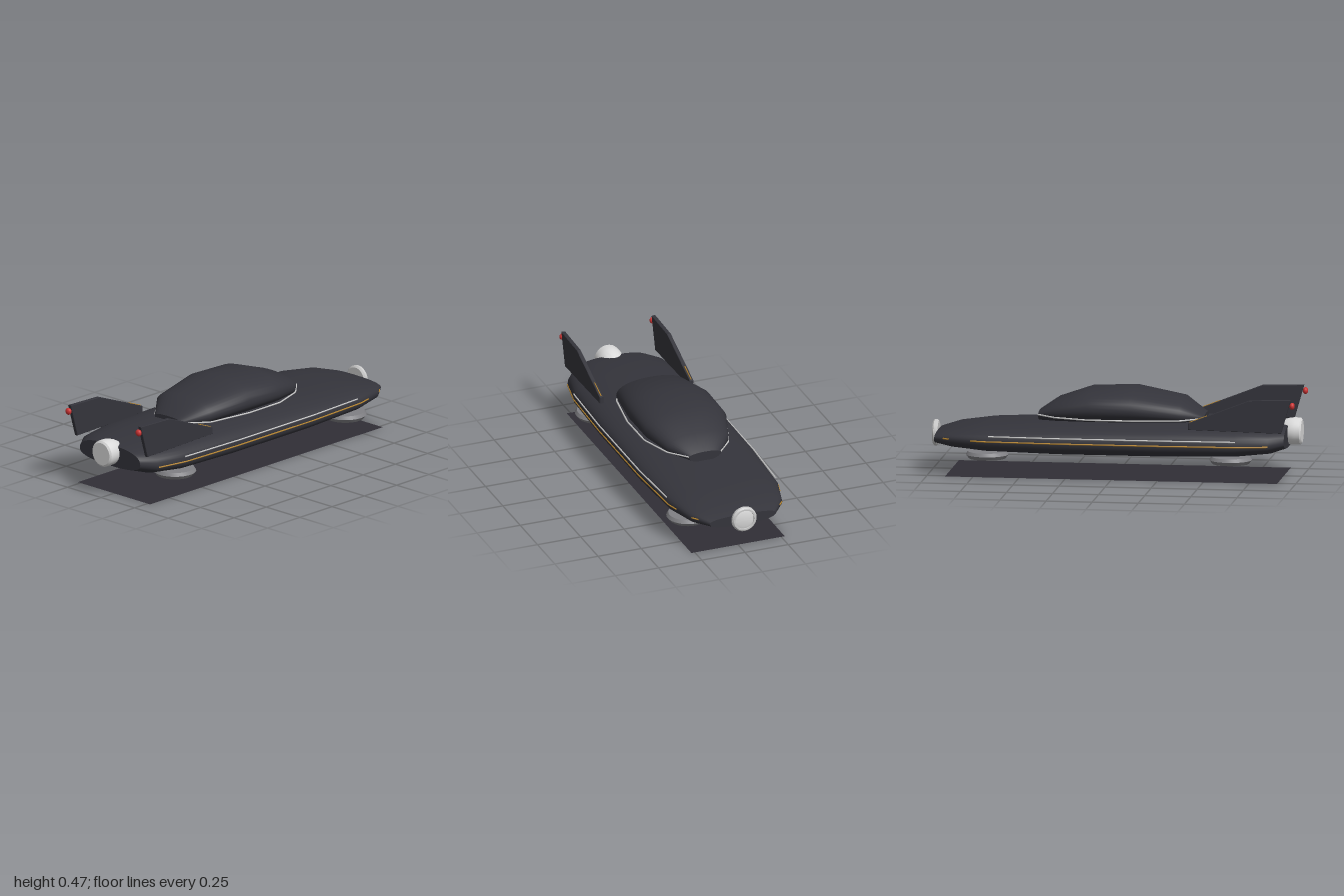
import * as THREE from 'three';
import { toCreasedNormals } from 'three/addons/utils/BufferGeometryUtils.js';

const mat = (name, color, extra = {}) => {
  const m = new THREE.MeshStandardMaterial({ color, ...extra });
  m.name = name;
  return m;
};

// Body stations: x, half width, top, bottom, height of the widest line
const BODY = [
  [-0.93, 0.225, 0.285, 0.165, 0.215], [-0.85, 0.285, 0.298, 0.14, 0.205],
  [-0.67, 0.322, 0.31, 0.122, 0.2], [-0.28, 0.335, 0.312, 0.113, 0.2],
  [0.3, 0.335, 0.29, 0.113, 0.2], [0.69, 0.316, 0.27, 0.122, 0.2],
  [0.87, 0.268, 0.246, 0.138, 0.198], [0.97, 0.19, 0.216, 0.155, 0.19],
];
// Cabin stations, same layout
const CABIN = [
  [-0.48, 0.1, 0.335, 0.28, 0.318], [-0.36, 0.2, 0.422, 0.28, 0.345],
  [-0.1, 0.24, 0.472, 0.28, 0.368], [0.14, 0.238, 0.464, 0.28, 0.365],
  [0.32, 0.178, 0.403, 0.28, 0.338], [0.42, 0.09, 0.335, 0.28, 0.315],
];

// Skin of rounded cross-sections along x, with flat caps
function loft(stations, power, sides = 40) {
  const pos = [], idx = [];
  const ring = ([x, w, top, bot, mid]) => {
    for (let j = 0; j < sides; j++) {
      const a = (j / sides) * Math.PI * 2, c = Math.cos(a), s = Math.sin(a);
      const cz = Math.sign(c) * Math.abs(c) ** (2 / power);
      const sy = Math.sign(s) * Math.abs(s) ** (2 / power);
      pos.push(x, mid + sy * (s > 0 ? top - mid : mid - bot), w * cz);
    }
  };
  stations.forEach(ring);
  for (let i = 0; i < stations.length - 1; i++) {
    for (let j = 0; j < sides; j++) {
      const k = (j + 1) % sides, a = i * sides, b = a + sides;
      idx.push(a + j, b + j, a + k, b + j, b + k, a + k);
    }
  }
  for (const end of [0, 1]) {
    const st = stations[end ? stations.length - 1 : 0];
    const base = pos.length / 3;
    ring(st);
    pos.push(st[0], st[4], 0);
    for (let j = 0; j < sides; j++) {
      const k = (j + 1) % sides;
      idx.push(base + sides, base + (end ? k : j), base + (end ? j : k));
    }
  }
  const g = new THREE.BufferGeometry();
  g.setAttribute('position', new THREE.Float32BufferAttribute(pos, 3));
  g.setIndex(idx);
  g.computeVertexNormals();
  return g;
}

// Half width of the body at a given x
function bodyWidth(x) {
  const i = Math.max(1, BODY.findIndex((s) => s[0] >= x));
  const a = BODY[i - 1], b = BODY[i];
  return a[1] + ((b[1] - a[1]) * (x - a[0])) / (b[0] - a[0]);
}

// Thin rod through points
function rod(points, radius) {
  const curve = new THREE.CatmullRomCurve3(points, false, 'catmullrom', 0);
  return new THREE.TubeGeometry(curve, 60, radius, 6);
}

// Rod along the body side between two x positions
function sideRod(x0, x1, y, scale, side) {
  const xs = [x0, ...BODY.map((s) => s[0]).filter((x) => x > x0 && x < x1), x1];
  return rod(xs.map((x) => new THREE.Vector3(x, y, side * bodyWidth(x) * scale)), 0.0042);
}

// Turned part from [radius, height] pairs
const turned = (pts, sides = 36) => toCreasedNormals(
  new THREE.LatheGeometry(pts.map((p) => new THREE.Vector2(...p)), sides), 0.5);

export function createModel() {
  const group = new THREE.Group();
  const paint = mat('charcoalPaint', 0x34343b);
  const shade = mat('groundShade', 0x302e36, { side: THREE.DoubleSide });
  const chrome = mat('chrome', 0xc8c8c8);
  const lensMat = mat('paleLens', 0xdadada);
  const gold = mat('gold', 0xb8862f);
  const red = mat('redLamp', 0xcc3333);
  const grey = mat('podGrey', 0x808084);
  const glow = mat('blueGlow', 0x5a9ab2);

  const add = (name, geometry, material, x = 0, y = 0, z = 0) => {
    const m = new THREE.Mesh(geometry, material);
    m.name = name;
    m.position.set(x, y, z);
    group.add(m);
    return m;
  };

  add('groundPlate', new THREE.PlaneGeometry(1.8, 0.54).rotateX(-Math.PI / 2), shade);
  add('body', loft(BODY, 2.5), paint);
  add('cabin', loft(CABIN, 2.25), paint);

  // Nose ring with lens
  const noseRing = turned([[0, -0.015], [0.062, -0.015], [0.071, -0.006], [0.071, 0.007],
    [0.063, 0.015], [0.054, 0.015], [0.053, 0.008], [0, 0.008]]).rotateZ(-Math.PI / 2);
  add('noseRing', noseRing, chrome, 0.985, 0.195);
  add('noseLens', turned([[0.053, 0], [0.04, 0.004], [0, 0.004]]).rotateZ(-Math.PI / 2),
    lensMat, 0.994, 0.195);

  // Rear jet nozzle
  const nozzle = turned([[0, 0], [0.062, 0], [0.072, 0.008], [0.074, 0.035], [0.072, 0.065],
    [0.06, 0.1], [0.035, 0.145], [0, 0.155]]).rotateZ(-Math.PI / 2);
  add('jetNozzle', nozzle, lensMat, -1, 0.246);

  // Fin outline, extruded across z
  const finShape = new THREE.Shape([[-0.92, 0.275], [-0.42, 0.285], [-0.42, 0.318],
    [-0.75, 0.447], [-0.972, 0.454]].map((p) => new THREE.Vector2(...p)));
  const finGeo = new THREE.ExtrudeGeometry(finShape, {
    depth: 0.016, bevelEnabled: true, bevelThickness: 0.003, bevelSize: 0.002, bevelSegments: 1,
  }).translate(0, 0, -0.008);

  // Hover pod and its glowing underside
  const podGeo = turned([[0, -0.014], [0.078, -0.014], [0.082, -0.02], [0.1, -0.02],
    [0.115, 0], [0.104, 0.018], [0, 0.018]]);
  const glowGeo = new THREE.CircleGeometry(0.078, 36).rotateX(Math.PI / 2);

  for (const side of [1, -1]) {
    const label = side > 0 ? 'front' : 'rear';
    const z = side * 0.261;
    add(`${label}SideFin`, finGeo, paint, 0, 0, z);
    add(`${label}SideFinStripe`, rod([new THREE.Vector3(-0.52, 0.36, z),
      new THREE.Vector3(-0.425, 0.323, z)], 0.003), gold);
    add(`${label}SideTailLamp`, new THREE.SphereGeometry(0.019, 16, 12).scale(0.75, 1, 1),
      red, -0.981, 0.423, z);

    add(`${label}SideGoldStripe`, sideRod(-0.85, 0.76, 0.2, 1, side), gold);
    add(`${label}SideGoldDash`, sideRod(0.88, 0.915, 0.2, 1, side), gold);
    add(`${label}SideChromeStripe`, sideRod(-0.68, 0.66, 0.228, 0.99, side), chrome);
    add(`${label}SideCabinTrim`, rod(CABIN.map((s) =>
      new THREE.Vector3(s[0], 0.318, side * s[1])), 0.0045), chrome);

    for (const x of [-0.64, 0.68]) {
      add(`${label}SideHoverPod`, podGeo, grey, x, 0.116, side * 0.204);
      add(`${label}SidePodGlow`, glowGeo, glow, x, 0.1, side * 0.204);
    }
  }
  return group;
}
